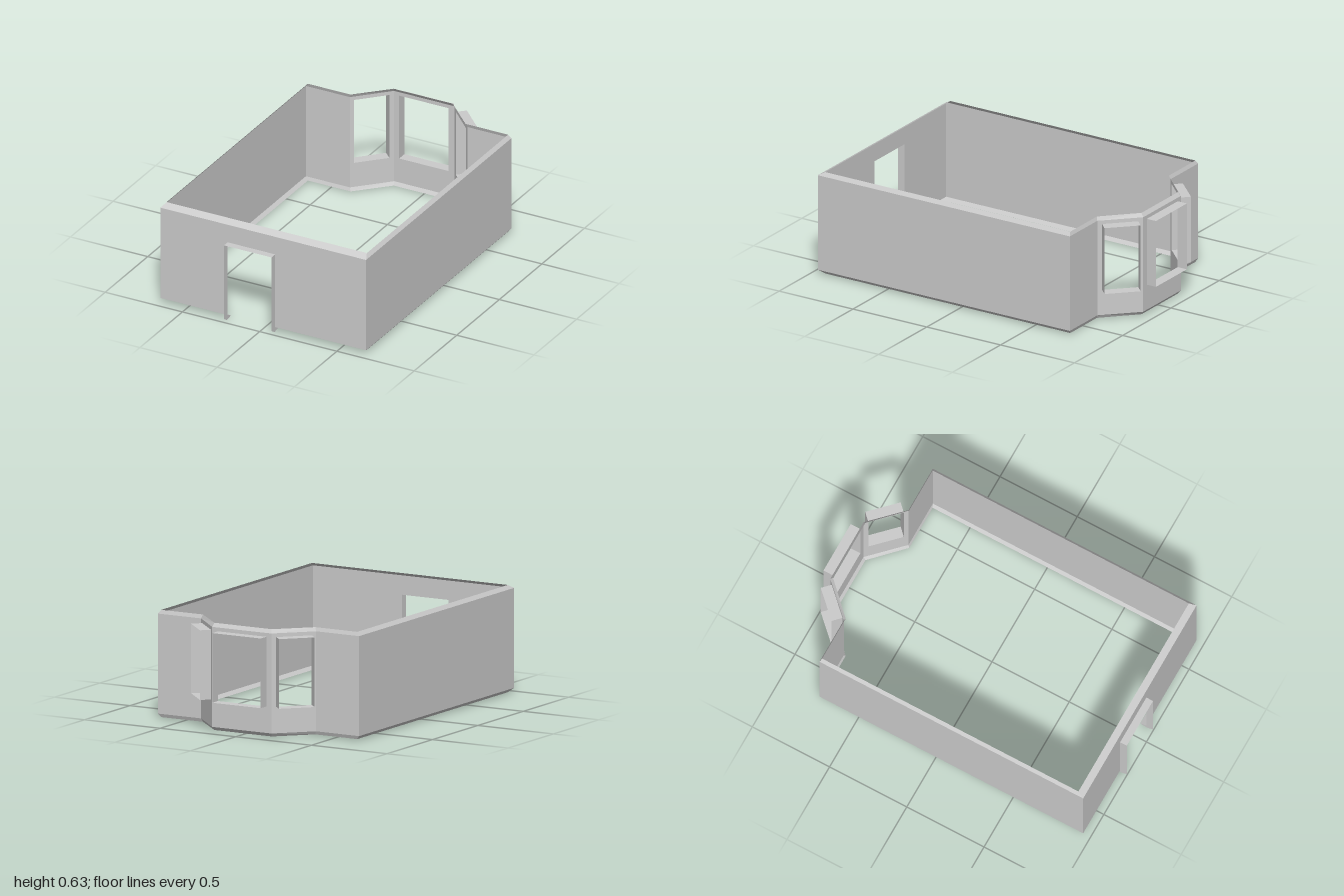
import * as THREE from 'three';

const LOW = 0.028, HIGH = 0.605;      // straight part of the walls
const FLOOR = 0.008, CEILING = 0.627; // edges of the sloping trims

// Plan, counter-clockwise from the front right corner: outer [x, z], inset [x, z]
const PLAN = [
  { out: [-0.665, 0.957], inset: [-0.648, 0.917] },
  { out: [0.665, 0.957], inset: [0.648, 0.917] },
  { out: [0.665, -0.75], inset: [0.648, -0.742] },
  { out: [0.38, -0.75], inset: [0.372, -0.742] },
  { out: [0.193, -0.938], inset: [0.187, -0.923] },
  { out: [-0.198, -0.938], inset: [-0.192, -0.923] },
  { out: [-0.38, -0.75], inset: [-0.372, -0.742] },
  { out: [-0.665, -0.75], inset: [-0.648, -0.742] },
];
const WALLS = [
  { name: 'frontWall', door: { from: 0.434, to: 0.742, top: 0.493, depth: 0.043 } },
  { name: 'leftWall' },
  { name: 'backLeftWall' },
  { name: 'bayLeftWall', window: { from: 0.028, to: 0.237, depth: 0.065 } },
  { name: 'bayCentreWall', window: { from: 0.038, to: 0.358, depth: 0.062 } },
  { name: 'bayRightWall', window: { from: 0.028, to: 0.237, depth: 0.065 } },
  { name: 'backRightWall' },
  { name: 'rightWall' },
];
const SILL = 0.181, LINTEL = 0.583;

const material = new THREE.MeshStandardMaterial({
  color: 0xcccccc, side: THREE.DoubleSide, flatShading: true,
});

function mesh(name, geometry) {
  const m = new THREE.Mesh(geometry, material);
  m.name = name;
  return m;
}

// Flat four-cornered panels, each given as [a, b, c, d]
function quads(list) {
  const positions = [];
  for (const [a, b, c, d] of list) positions.push(...a, ...b, ...c, ...a, ...c, ...d);
  const g = new THREE.BufferGeometry();
  g.setAttribute('position', new THREE.Float32BufferAttribute(positions, 3));
  g.computeVertexNormals();
  return g;
}

const points = (list) => list.map(([x, y]) => new THREE.Vector2(x, y));

// Four-sided lining of a window, projecting outwards (+z of its wall)
function windowReveal({ from, to, depth }) {
  const ring = [[from, SILL], [to, SILL], [to, LINTEL], [from, LINTEL]];
  return mesh('windowReveal', quads(ring.map((p, i) => {
    const q = ring[(i + 1) % 4];
    return [[...p, 0], [...p, depth], [...q, depth], [...q, 0]];
  })));
}

// Door head and two jambs whose feet run back to the floor trim
function doorReveal({ from, to, top, depth }) {
  const group = new THREE.Group();
  group.name = 'doorReveal';
  group.add(mesh('doorHead', quads([
    [[from, top, 0], [from, top, depth], [to, top, depth], [to, top, 0]],
  ])));
  const profile = new THREE.Shape(points([
    [0, top], [0, LOW], [-0.04, FLOOR], [0.008, 0], [depth, 0.022], [depth, top],
  ]));
  for (const x of [from, to]) {
    const jamb = mesh('doorJamb', new THREE.ShapeGeometry(profile));
    jamb.rotation.y = -Math.PI / 2;
    jamb.position.x = x;
    group.add(jamb);
  }
  return group;
}

// Wall sheet in its own frame: x along the wall, z outwards
function wall(spec, start, end) {
  const dx = end[0] - start[0], dz = end[1] - start[1];
  const length = Math.hypot(dx, dz);
  const group = new THREE.Group();
  group.name = spec.name;
  group.position.set(start[0], 0, start[1]);
  group.rotation.y = Math.atan2(-dz, dx);

  const outline = [[0, LOW]];
  if (spec.door) {
    const { from, to, top } = spec.door;
    outline.push([from, LOW], [from, top], [to, top], [to, LOW]);
    group.add(doorReveal(spec.door));
  }
  outline.push([length, LOW], [length, HIGH], [0, HIGH]);
  const shape = new THREE.Shape(points(outline));
  if (spec.window) {
    const { from, to } = spec.window;
    shape.holes.push(new THREE.Path(points([
      [from, SILL], [from, LINTEL], [to, LINTEL], [to, SILL],
    ])));
    group.add(windowReveal(spec.window));
  }
  group.add(mesh('wallSheet', new THREE.ShapeGeometry(shape)));
  return group;
}

// Sloping strip along one wall between its edge and the inset outline
function trimStrip(a, b, yOuter, yInner) {
  const at = ([x, z], y) => [x, y, z];
  return [at(a.out, yOuter), at(b.out, yOuter), at(b.inset, yInner), at(a.inset, yInner)];
}

export function createModel() {
  const model = new THREE.Group();
  model.name = 'room';
  const ceilingTrim = [], floorTrim = [];

  WALLS.forEach((spec, i) => {
    const a = PLAN[i], b = PLAN[(i + 1) % PLAN.length];
    model.add(wall(spec, a.out, b.out));
    ceilingTrim.push(trimStrip(a, b, HIGH, CEILING));
    if (spec.door) {
      // The floor trim stops on both sides of the doorway
      const cut = (d) => {
        const x = a.out[0] + d;
        return { out: [x, a.out[1]], inset: [x, a.inset[1]] };
      };
      floorTrim.push(trimStrip(a, cut(spec.door.from), LOW, FLOOR));
      floorTrim.push(trimStrip(cut(spec.door.to), b, LOW, FLOOR));
    } else {
      floorTrim.push(trimStrip(a, b, LOW, FLOOR));
    }
  });

  model.add(mesh('ceilingTrim', quads(ceilingTrim)));
  model.add(mesh('floorTrim', quads(floorTrim)));
  return model;
}
